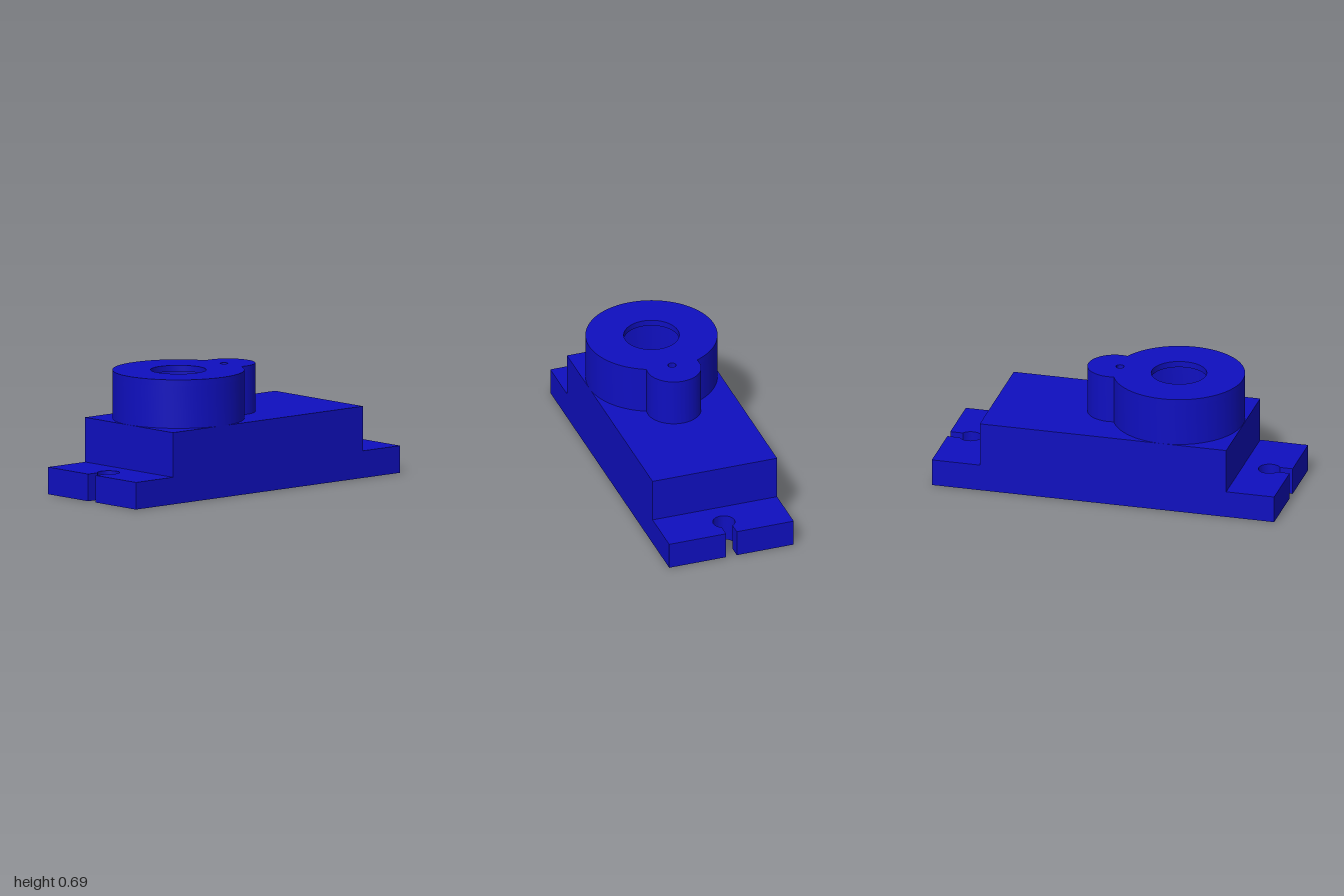
import * as THREE from 'three';
import { toCreasedNormals } from 'three/addons/utils/BufferGeometryUtils.js';

const HALF = 0.373, WALL = 0.035, BODY = 0.72;   // half depth, wall thickness, half body length
const TAB_Y = 0.155, BODY_Y = 0.41, TOP_Y = 0.687;
const HOLE_X = 0.873;                            // mounting hole centre

// Plan-view helpers: shape x is model x, shape y is depth
const rect = (w, d) => new THREE.Path([[-w, -d], [w, -d], [w, d], [-w, d]].map(p => new THREE.Vector2(...p)));
const circle = (x, y, r) => new THREE.Path().absarc(x, y, r, 0, Math.PI * 2, false);
const asShape = (path, holes = []) => {
  const s = new THREE.Shape(path.getPoints(40));
  s.holes = holes;
  return s;
};

// Points round a keyhole (circle plus slot towards the end), from +y lip to -y lip, for side = 1 or -1
function keyhole(side, r, slot, endX) {
  const a = Math.asin(slot / r), pts = [new THREE.Vector2(side * endX, slot)];
  for (let i = 0; i <= 32; i++) {
    const t = a + (Math.PI * 2 - 2 * a) * i / 32;
    pts.push(new THREE.Vector2(side * (HOLE_X + r * Math.cos(t)), r * Math.sin(t)));
  }
  pts.push(new THREE.Vector2(side * endX, -slot));
  return pts;
}

// Whole base outline with both slotted holes cut in from the ends
function baseOutline() {
  const v = (x, y) => new THREE.Vector2(x, y);
  return new THREE.Path([
    v(-1, -HALF), v(1, -HALF),
    ...keyhole(1, 0.063, 0.032, 1).reverse(),
    v(1, HALF), v(-1, HALF),
    ...keyhole(-1, 0.063, 0.032, 1),
  ]);
}

// Hollow inside a tab, leaving a collar round the slotted hole
function tabPocket(side) {
  const v = (x, y) => new THREE.Vector2(side * x, y);
  const d = HALF - WALL, end = 1 - WALL;
  return new THREE.Path([
    v(BODY, -d), v(BODY, d), v(end, d),
    ...keyhole(side, 0.09, 0.06, end),
    v(end, -d),
  ]);
}

// Union of the large and small tower circles, shrunk by inset
function towerOutline(inset) {
  const X = -0.345, x = 0.03, R = HALF - inset, r = 0.155 - inset, d = x - X;
  const a = (d * d + R * R - r * r) / (2 * d), h = Math.sqrt(R * R - a * a);
  const big = Math.atan2(h, a), small = Math.atan2(h, a - d);
  const p = new THREE.Path();
  p.absarc(X, 0, R, big, Math.PI * 2 - big, false);
  p.absarc(x, 0, r, -small, small, false);
  return p;
}

export function createModel() {
  const group = new THREE.Group();
  const material = new THREE.MeshStandardMaterial({ color: 0x0f0fc0 });

  // Extrudes a plan shape between two heights
  const slab = (name, shape, y0, y1) => {
    let g = new THREE.ExtrudeGeometry(shape, { depth: y1 - y0, bevelEnabled: false, curveSegments: 48 });
    g.rotateX(-Math.PI / 2);
    g = toCreasedNormals(g, 0.5);
    const mesh = new THREE.Mesh(g, material);
    mesh.name = name;
    mesh.position.y = y0;
    group.add(mesh);
  };

  const cavity = () => rect(BODY - WALL, HALF - WALL);
  const tabRoof = TAB_Y - WALL, bodyRoof = BODY_Y - WALL, towerRoof = TOP_Y - WALL;

  // Open-bottomed base with hollow mounting tabs
  slab('baseWalls', asShape(baseOutline(), [cavity(), tabPocket(1), tabPocket(-1)]), 0, tabRoof);
  slab('mountingTabs', asShape(baseOutline(), [cavity()]), tabRoof, TAB_Y);

  // Hollow body and its roof, open into the tower
  slab('bodyWalls', asShape(rect(BODY, HALF), [cavity()]), TAB_Y, bodyRoof);
  slab('bodyRoof', asShape(rect(BODY, HALF), [towerOutline(WALL)]), bodyRoof, BODY_Y);

  // Hollow tower with shaft hole and pin hole
  slab('towerWalls', asShape(towerOutline(0), [towerOutline(WALL)]), BODY_Y, towerRoof);
  slab('towerCap', asShape(towerOutline(0), [circle(-0.345, 0, 0.157), circle(0, 0, 0.023)]), towerRoof, TOP_Y);

  // Screw posts inside the four body corners
  for (const x of [-0.64, 0.64]) for (const z of [-0.29, 0.29])
    slab('screwPost', asShape(circle(x, z, 0.063), [circle(x, z, 0.035)]), 0.115, bodyRoof);

  return group;
}
